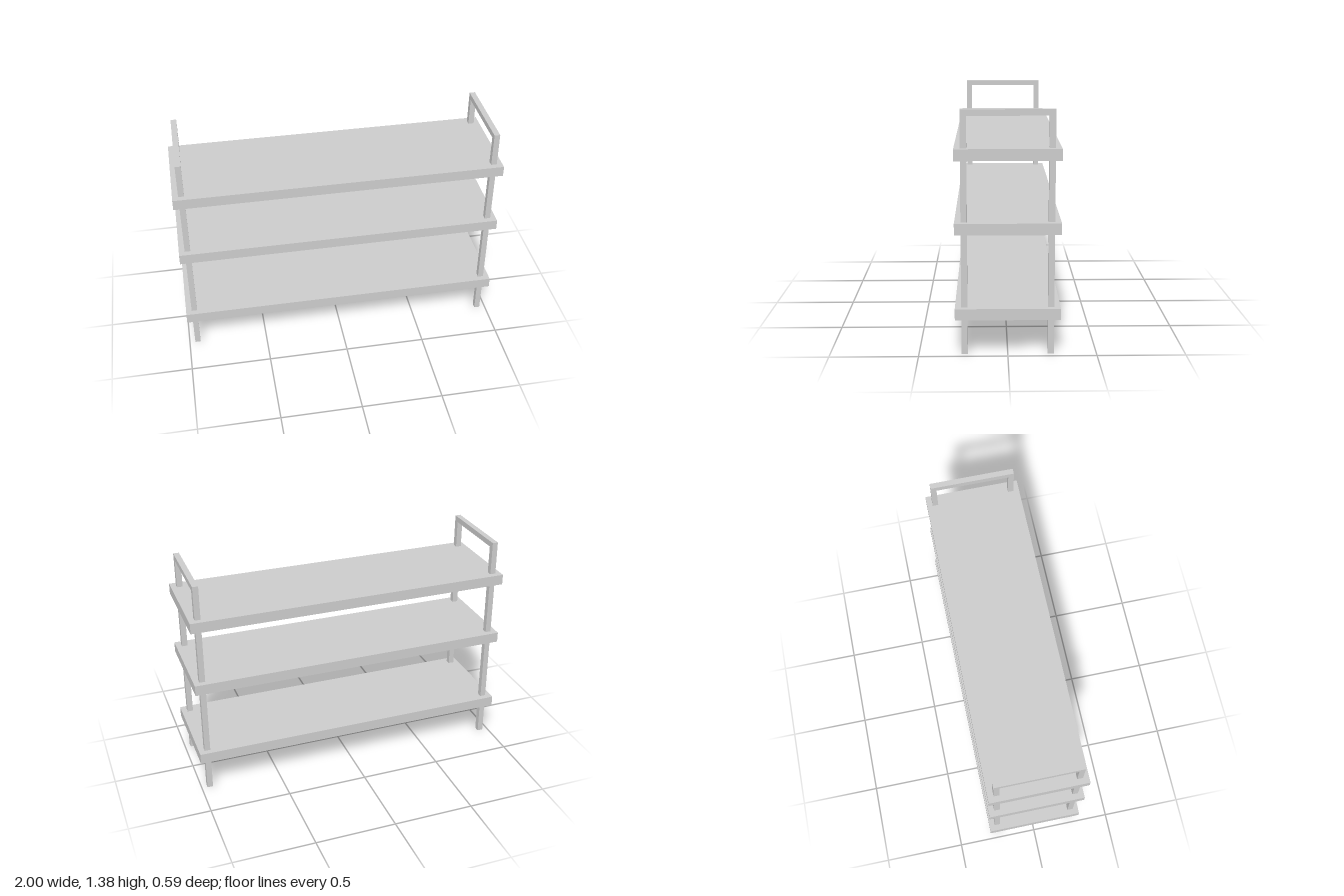
import * as THREE from 'three';

const material = new THREE.MeshStandardMaterial({ color: 0xcccccc });

const WIDTH = 2, DEPTH = 0.59;          // shelf outline
const SHELF_HEIGHT = 0.065, DECK = 0.015, RIM = 0.02;
const FRAME_X = 0.947, FRAME_Z = 0.26, FRAME_TOP = 1.38, BAR = 0.035;

function addMesh(parent, name, geometry, x = 0, y = 0, z = 0) {
  const mesh = new THREE.Mesh(geometry, material);
  mesh.name = name;
  mesh.position.set(x, y, z);
  parent.add(mesh);
  return mesh;
}

// Rectangle centred on the origin, as corner points
function rectangle(w, h) {
  return [[-1, -1], [1, -1], [1, 1], [-1, 1]].map(([x, y]) => new THREE.Vector2(x * w / 2, y * h / 2));
}

// Shelf: thin deck with a rim hanging below it, hollow underneath
function createShelf(name, bottom) {
  const shelf = new THREE.Group();
  shelf.name = name;
  const rimHeight = SHELF_HEIGHT - DECK;

  const outline = new THREE.Shape(rectangle(WIDTH, DEPTH));
  outline.holes.push(new THREE.Path(rectangle(WIDTH - 2 * RIM, DEPTH - 2 * RIM)));
  const rim = new THREE.ExtrudeGeometry(outline, { depth: rimHeight, bevelEnabled: false });
  rim.rotateX(-Math.PI / 2);
  addMesh(shelf, 'shelfRim', rim);
  addMesh(shelf, 'shelfDeck', new THREE.BoxGeometry(WIDTH, DECK, DEPTH), 0, rimHeight + DECK / 2, 0);

  shelf.position.y = bottom;
  return shelf;
}

// Side frame: two legs joined by a top handle, one upside-down U
function createFrameGeometry() {
  const o = FRAME_Z, i = FRAME_Z - BAR, t = FRAME_TOP;
  const points = [[-o, 0], [-i, 0], [-i, t - BAR], [i, t - BAR], [i, 0], [o, 0], [o, t], [-o, t]];
  const shape = new THREE.Shape(points.map(([z, y]) => new THREE.Vector2(z, y)));
  const geometry = new THREE.ExtrudeGeometry(shape, { depth: BAR, bevelEnabled: false });
  geometry.translate(0, 0, -BAR / 2);
  geometry.rotateY(Math.PI / 2);
  return geometry;
}

export function createModel() {
  const model = new THREE.Group();
  model.name = 'shelfUnit';

  const shelves = { lowerShelf: 0.21, middleShelf: 0.695, upperShelf: 1.105 };
  for (const [name, bottom] of Object.entries(shelves)) model.add(createShelf(name, bottom));

  const frame = createFrameGeometry();
  addMesh(model, 'leftFrame', frame, FRAME_X);
  addMesh(model, 'rightFrame', frame, -FRAME_X);

  return model;
}
